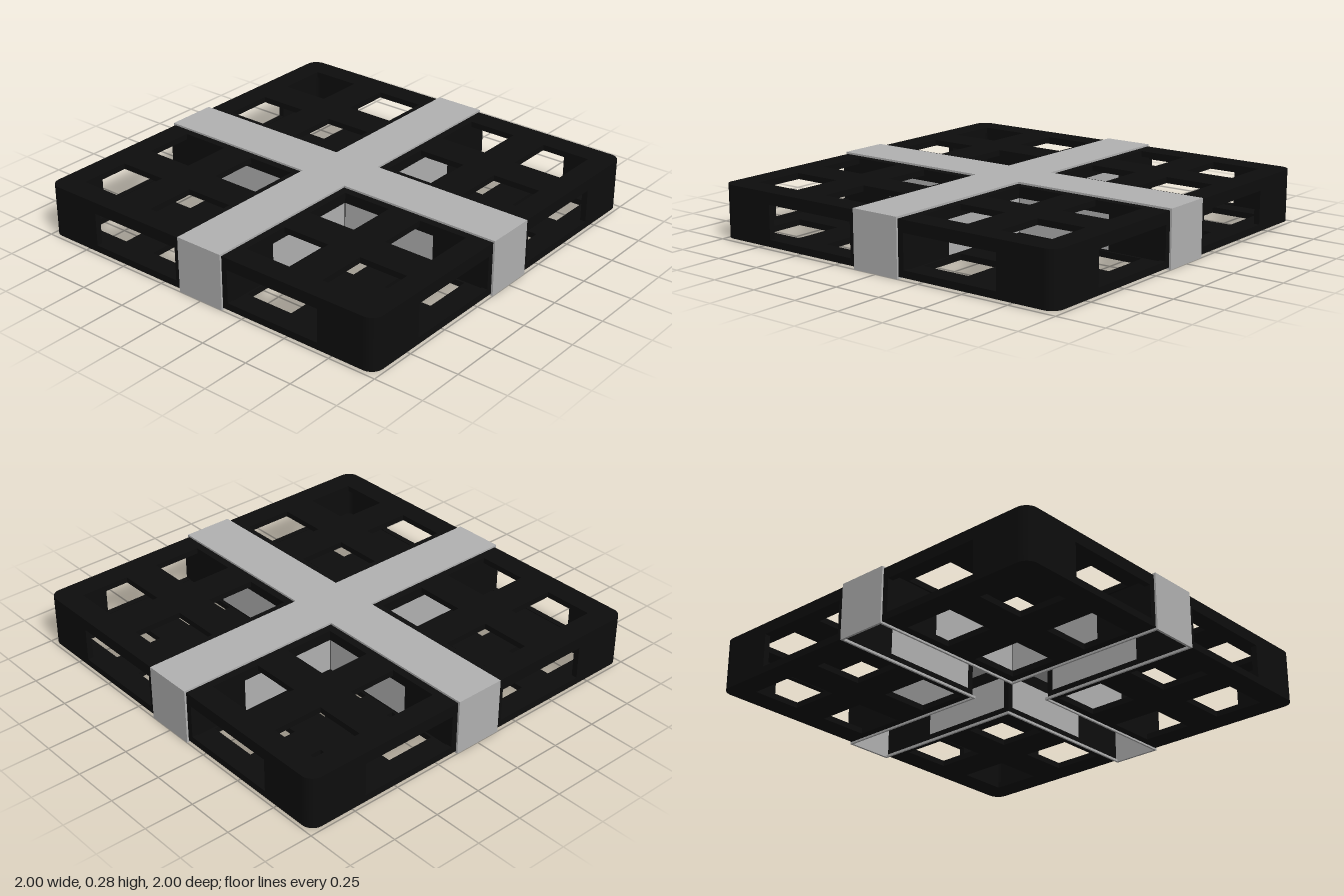
import * as THREE from 'three';

const IN = 0.13, OUT = 0.99, R = 0.06, T = 0.03; // quadrant extents, corner radius, wall thickness
const Y0 = 0.01, Y1 = 0.275, TOP = 0.285;

const black = new THREE.MeshStandardMaterial({ color: 0x0d0d0d });
black.name = 'black';
const grey = new THREE.MeshStandardMaterial({ color: 0xb1b1b1 });
grey.name = 'grey';

function rectPath(x0, y0, x1, y1) {
  return new THREE.Path([[x0, y0], [x0, y1], [x1, y1], [x1, y0], [x0, y0]].map(p => new THREE.Vector2(...p)));
}

function extrude(shape, depth) {
  return new THREE.ExtrudeGeometry(shape, { depth, bevelEnabled: false, curveSegments: 8 });
}

function add(parent, name, geometry, material, x = 0, y = 0, z = 0) {
  const mesh = new THREE.Mesh(geometry, material);
  mesh.name = name;
  mesh.position.set(x, y, z);
  parent.add(mesh);
  return mesh;
}

function box(parent, name, material, x0, x1, y0, y1, z0, z1) {
  return add(parent, name, new THREE.BoxGeometry(x1 - x0, y1 - y0, z1 - z0), material,
    (x0 + x1) / 2, (y0 + y1) / 2, (z0 + z1) / 2);
}

// Horizontal plate with four square holes and one rounded outer corner
function plateGeometry() {
  const s = new THREE.Shape();
  s.moveTo(IN, IN);
  s.lineTo(OUT, IN);
  s.lineTo(OUT, OUT - R);
  s.absarc(OUT - R, OUT - R, R, 0, Math.PI / 2, false);
  s.lineTo(IN, OUT);
  s.closePath();
  for (const x of [0.17, 0.61]) for (const z of [0.17, 0.61]) {
    s.holes.push(rectPath(x, z, x + 0.26, z + 0.26));
  }
  return extrude(s, T).rotateX(Math.PI / 2).translate(0, T, 0);
}

// Upright wall with one window
function wallGeometry(x0, x1) {
  const s = new THREE.Shape([[x0, Y0 + T], [x1, Y0 + T], [x1, Y1 - T], [x0, Y1 - T]].map(p => new THREE.Vector2(...p)));
  s.holes.push(rectPath(0.16, 0.045, 0.68, 0.215));
  return extrude(s, T);
}

// Quarter ring closing the outer corner
function cornerGeometry() {
  const s = new THREE.Shape();
  s.absarc(0, 0, R, 0, Math.PI / 2, false);
  s.absarc(0, 0, R - T, Math.PI / 2, 0, true);
  s.closePath();
  return extrude(s, Y1 - Y0 - 2 * T).rotateX(Math.PI / 2);
}

function makeQuadrant() {
  const g = new THREE.Group();
  g.name = 'crateQuadrant';
  const plate = plateGeometry();
  add(g, 'bottomGrid', plate, black, 0, Y0, 0);
  add(g, 'topGrid', plate, black, 0, Y1 - T, 0);
  add(g, 'roundedCorner', cornerGeometry(), black, OUT - R, Y1 - T, OUT - R);

  // The two sides are the same walls turned a quarter
  for (const turned of [false, true]) {
    const side = new THREE.Group();
    side.name = turned ? 'sideWalls' : 'frontWalls';
    const s = turned ? -1 : 1;
    const outerZ = turned ? -OUT : OUT - T;
    const innerZ = turned ? -IN - T : IN;
    add(side, 'outerWall', wallGeometry(IN, OUT - R), black, 0, 0, outerZ);
    add(side, 'innerWall', wallGeometry(IN, OUT - T), black, 0, 0, innerZ);
    const z = s * (IN + T / 2);
    box(side, 'windowPanel', grey, 0.16, 0.68, 0.045, 0.215, z - T / 2 + 0.002, z + T / 2 - 0.002);
    // Grey lip under the channel wall
    const lip = s * (IN - 0.005);
    box(side, 'channelLip', grey, IN - 0.01, 0.99, 0, 0.012, lip - 0.005, lip + 0.005);
    if (turned) side.rotation.y = -Math.PI / 2;
    g.add(side);
  }
  return g;
}

export function createModel() {
  const model = new THREE.Group();
  model.name = 'strappedCrate';

  for (let i = 0; i < 4; i++) {
    const turn = i * Math.PI / 2;
    const quadrant = makeQuadrant();
    quadrant.rotation.y = turn;
    model.add(quadrant);

    // Strap end folded down over the rim
    const end = new THREE.Group();
    end.name = 'strapEnd';
    box(end, 'strapEndPlate', grey, -IN, IN, 0, TOP - 0.01, 0.988, 1);
    end.rotation.y = turn;
    model.add(end);
  }

  // Cross-shaped strap on top
  const pts = [];
  for (let i = 0; i < 4; i++) {
    for (const [x, y] of [[IN, IN], [IN, 1], [-IN, 1]]) {
      pts.push(new THREE.Vector2(x, y).rotateAround(new THREE.Vector2(), i * Math.PI / 2));
    }
  }
  const cross = extrude(new THREE.Shape(pts), 0.01).rotateX(Math.PI / 2);
  add(model, 'crossStrap', cross, grey, 0, TOP, 0);
  return model;
}
